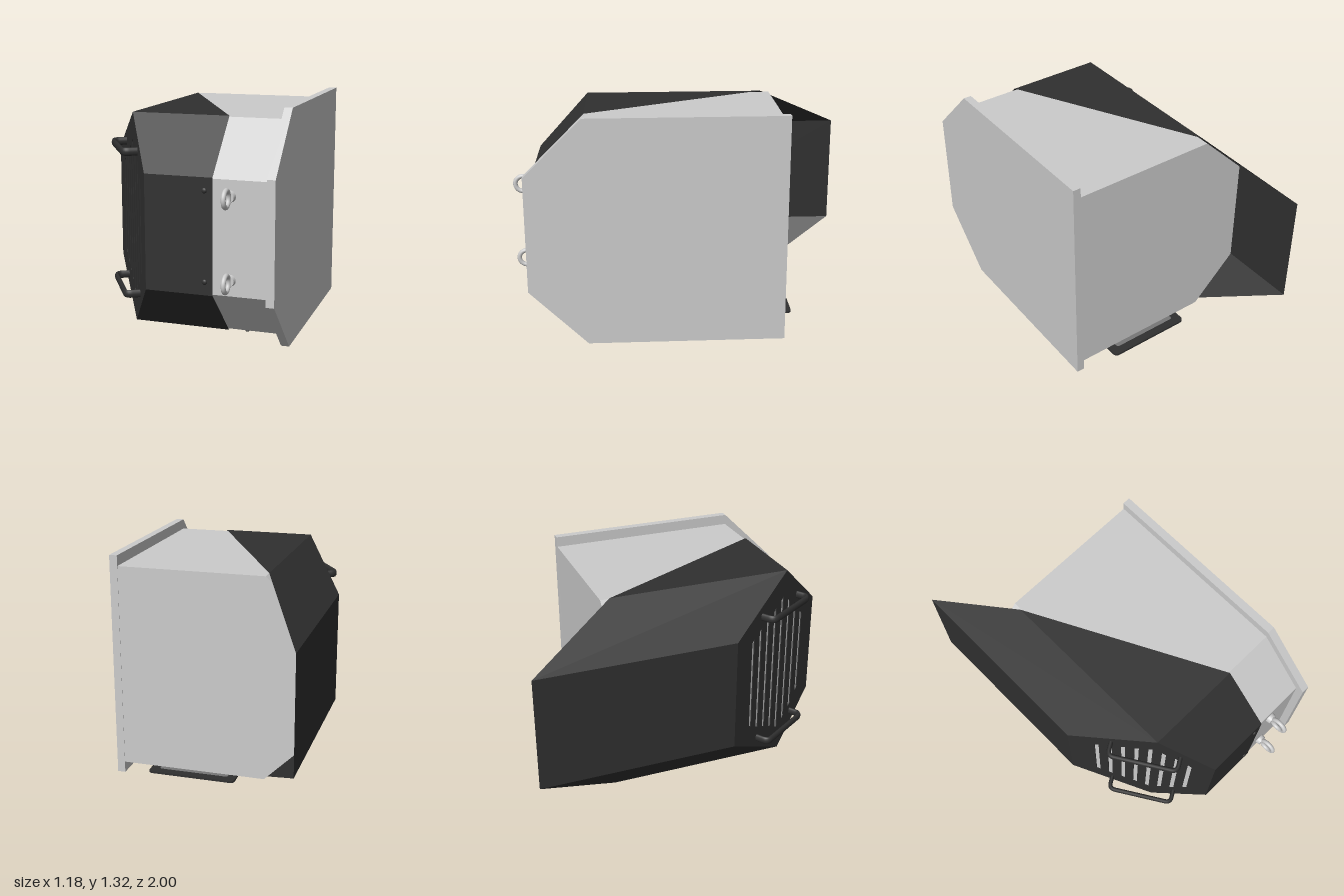
import * as THREE from 'three';
import { ConvexGeometry } from 'three/addons/geometries/ConvexGeometry.js';

const grey = new THREE.MeshStandardMaterial({ color: 0xcccccc, flatShading: true });
const steel = new THREE.MeshStandardMaterial({ color: 0xcccccc });
const black = new THREE.MeshStandardMaterial({ color: 0x303030 });
const sheet = new THREE.MeshStandardMaterial({ color: 0x303030, side: THREE.DoubleSide });

const MID = 0.6625; // height of the horizontal symmetry plane

function add(parent, name, geometry, material, x = 0, y = 0, z = 0) {
  const mesh = new THREE.Mesh(geometry, material);
  mesh.name = name;
  mesh.position.set(x, y, z);
  parent.add(mesh);
  return mesh;
}

const polygon = (pts) => new THREE.Shape(pts.map(([x, y]) => new THREE.Vector2(x, y)));

// Flat convex panel from its corners
function panel(corners) {
  const g = new THREE.BufferGeometry();
  g.setAttribute('position', new THREE.Float32BufferAttribute(corners.flat(), 3));
  const index = [];
  for (let i = 1; i < corners.length - 1; i++) index.push(0, i, i + 1);
  g.setIndex(index);
  g.computeVertexNormals();
  return g;
}

function roundedRect(path, x0, y0, x1, y1, r) {
  path.moveTo(x0 + r, y0);
  path.lineTo(x1 - r, y0).quadraticCurveTo(x1, y0, x1, y0 + r);
  path.lineTo(x1, y1 - r).quadraticCurveTo(x1, y1, x1 - r, y1);
  path.lineTo(x0 + r, y1).quadraticCurveTo(x0, y1, x0, y1 - r);
  path.lineTo(x0, y0 + r).quadraticCurveTo(x0, y0, x0 + r, y0);
  return path;
}

// Rounded U-shaped bar handle, feet on z = 0
function handleGeometry(x0, x1, h, r) {
  const v = (x, z) => new THREE.Vector3(x, 0, z);
  const path = new THREE.CurvePath();
  path.add(new THREE.LineCurve3(v(x0, -0.004), v(x0, h - r)));
  path.add(new THREE.QuadraticBezierCurve3(v(x0, h - r), v(x0, h), v(x0 + r, h)));
  path.add(new THREE.LineCurve3(v(x0 + r, h), v(x1 - r, h)));
  path.add(new THREE.QuadraticBezierCurve3(v(x1 - r, h), v(x1, h), v(x1, h - r)));
  path.add(new THREE.LineCurve3(v(x1, h - r), v(x1, -0.004)));
  return new THREE.TubeGeometry(path, 80, 0.013, 12).scale(1, 1.75, 1);
}

export function createModel() {
  const model = new THREE.Group();
  model.name = 'ventHousing';

  // Housing body: chamfered box, slightly inside the cover
  const e = 0.006;
  const half = [
    [0.54, 1.265 - e, -0.535], [0.54, 1.265 - e, 0.594 - e], [0.54, 0.98 - e, 0.88 - e],
    [-0.14 + e, 0.98 - e, 0.88 - e], [-0.32 + e, 1.265 - e, 0.594 - e], [-0.59 + e, 1 - e, 0.165 - e],
    [-0.32 + e, 1.265 - e, -0.535], [-0.59 + e, 1 - e, -0.535],
  ];
  const bodyPoints = half.flatMap(([x, y, z]) =>
    [new THREE.Vector3(x, y, z), new THREE.Vector3(x, 2 * MID - y, z)]);
  add(model, 'housingBody', new ConvexGeometry(bodyPoints), grey);

  // End flange, profile drawn in (-z, y)
  const flange = polygon([[0.537, 0], [0.537, 1.32], [-0.59, 1.32], [-0.92, 0.995], [-0.92, 0.325], [-0.59, 0]]);
  add(model, 'endFlange', new THREE.ExtrudeGeometry(flange, { depth: 0.046, bevelEnabled: false }), grey, 0.54)
    .rotation.y = Math.PI / 2;

  // Sheet cover panels, the upper ones mirrored below
  const cover = new THREE.Group();
  cover.name = 'sheetCover';
  model.add(cover);
  add(cover, 'sidePanel', panel([[-0.59, 1, -1], [-0.59, 0.325, -1], [-0.59, 0.325, 0.165], [-0.59, 1, 0.165]]), sheet);
  add(cover, 'frontPanel', panel([[-0.14, 0.345, 0.88], [0.24, 0.345, 0.88], [0.24, 0.98, 0.88], [-0.14, 0.98, 0.88]]), sheet);
  const upper = {
    sideChamfer: [[-0.59, 1, -1], [-0.59, 1, 0.165], [-0.32, 1.265, 0.594], [-0.32, 1.265, -0.483]],
    flatPanel: [[-0.32, 1.265, -0.483], [-0.32, 1.265, 0.594], [0.24, 1.265, 0.594]],
    frontChamfer: [[-0.32, 1.265, 0.594], [-0.14, 0.98, 0.88], [0.24, 0.98, 0.88], [0.24, 1.265, 0.594]],
  };
  for (const [name, pts] of Object.entries(upper)) {
    add(cover, name + 'Top', panel(pts), sheet);
    add(cover, name + 'Bottom', panel(pts.map(([x, y, z]) => [x, 2 * MID - y, z]).reverse()), sheet);
  }

  // Slanted grille face with upright slots; local x runs along the slope
  const face = new THREE.Group();
  face.name = 'grilleFace';
  face.position.set(-0.59, 0, 0.165);
  face.rotation.y = -Math.atan2(0.715, 0.45);
  model.add(face);
  const along = (x) => (x + 0.59) / 0.45 * 0.845;
  const plate = polygon([[0, 0.325], [0.507, 0.06], [0.845, 0.345], [0.845, 0.98], [0.507, 1.265], [0, 1]]);
  const slotTops = [0.945, 0.985, 1.02, 1.055, 1.1, 1.065, 1.01, 0.93];
  slotTops.forEach((top, i) => {
    const u = along(-0.502 + i * 0.041), w = 0.012;
    const s = i < 5 ? 0.008 : -0.012;
    const low = 2 * MID - top;
    plate.holes.push(polygon([[u - w, low + s], [u - w, top - s], [u + w, top + s], [u + w, low - s]]));
  });
  add(face, 'grillePlate', new THREE.ExtrudeGeometry(plate, { depth: 0.006, bevelEnabled: false }), black, 0, 0, -0.006);

  // Carrying handles
  for (const y of [1.065, 0.26]) add(face, 'handle', handleGeometry(0.25, 0.642, 0.079, 0.035), black, 0, y, 0);

  // Eye bolts and cover screws on the front
  for (const y of [0.887, 0.438]) {
    const bolt = new THREE.Group();
    bolt.name = 'eyeBolt';
    bolt.position.set(0.333, y, 0.874);
    model.add(bolt);
    add(bolt, 'collar', new THREE.CylinderGeometry(0.028, 0.032, 0.026, 24), steel, 0, 0, 0.013).rotation.x = Math.PI / 2;
    add(bolt, 'ring', new THREE.TorusGeometry(0.044, 0.013, 12, 32), steel, 0, 0, 0.069).rotation.y = Math.PI / 2;
  }
  for (const y of [0.91, 0.418]) {
    const screw = add(model, 'coverScrew', new THREE.SphereGeometry(0.015, 16, 8), black, 0.194, y, 0.88);
    screw.scale.z = 0.6;
  }
  for (const x of [-0.13, 0.34]) {
    const screw = add(model, 'undersideScrew', new THREE.SphereGeometry(0.012, 16, 8), black, x, 0.06, 0.57);
    screw.scale.y = 0.6;
  }

  // Rounded plate frame under the body, overhanging the back
  const frame = roundedRect(new THREE.Shape(), -0.155, -0.612, 0.363, -0.285, 0.03);
  frame.holes.push(roundedRect(new THREE.Path(), -0.105, -0.562, 0.313, -0.335, 0.02));
  add(model, 'labelFrame', new THREE.ExtrudeGeometry(frame, { depth: 0.012, bevelEnabled: false }), black, 0, 0.065, 0)
    .rotation.x = Math.PI / 2;
  const backing = new THREE.MeshStandardMaterial({ color: 0x777777 });
  add(model, 'labelBacking', new THREE.BoxGeometry(0.43, 0.006, 0.24), backing, 0.104, 0.061, -0.4485);

  return model;
}
